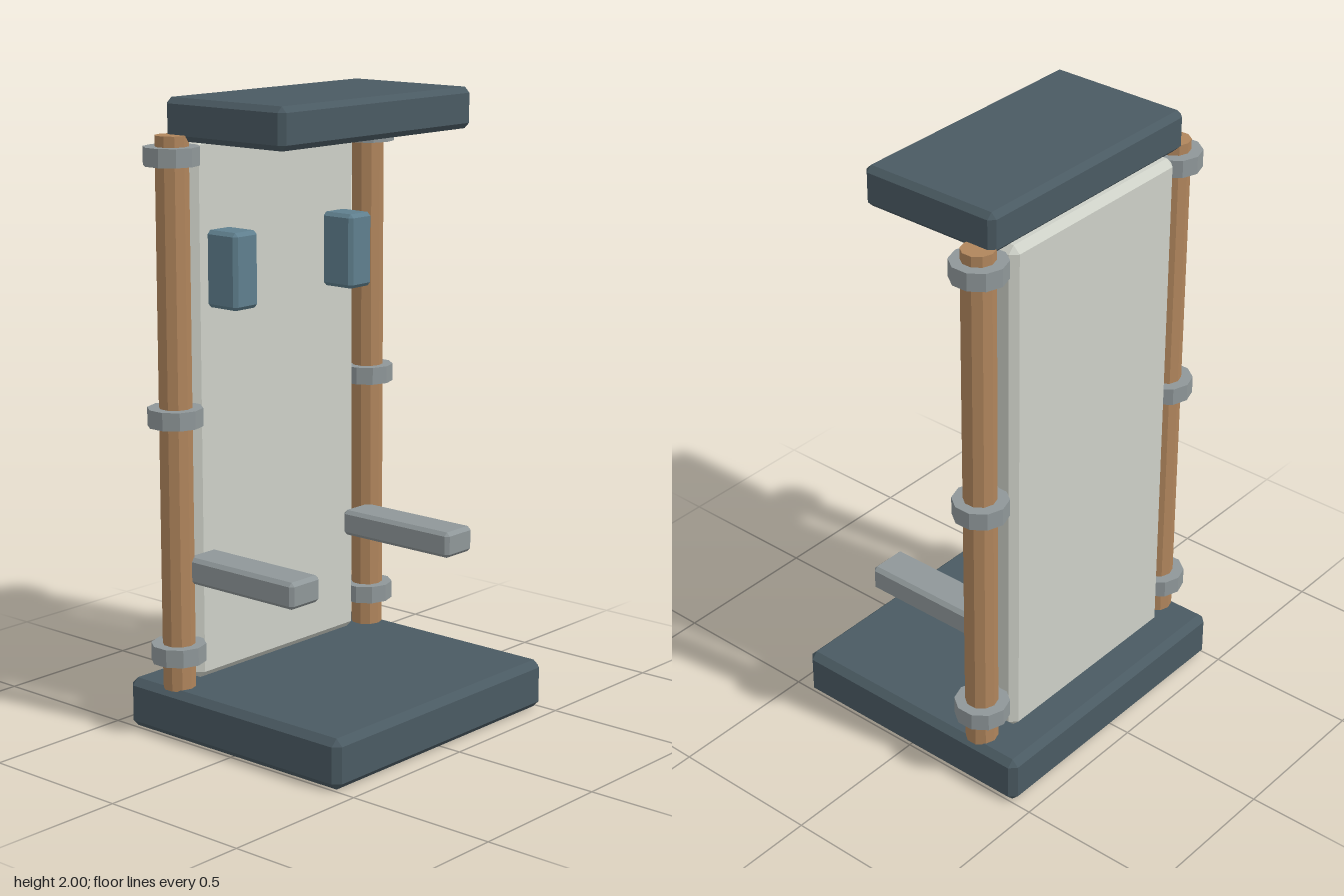
import * as THREE from 'three';
import { ConvexGeometry } from 'three/addons/geometries/ConvexGeometry.js';

const mat = (color) => new THREE.MeshStandardMaterial({ color, flatShading: true });

// Box with all edges and corners cut by c, given as [min, max] ranges
function chamferBox([x0, x1], [y0, y1], [z0, z1], c) {
  const half = [(x1 - x0) / 2, (y1 - y0) / 2, (z1 - z0) / 2];
  const points = [];
  for (const sx of [-1, 1]) for (const sy of [-1, 1]) for (const sz of [-1, 1]) {
    // each corner becomes three points, one on each adjoining face
    for (let face = 0; face < 3; face++) {
      const p = [sx, sy, sz].map((s, i) => s * (half[i] - (i === face ? 0 : c)));
      points.push(new THREE.Vector3(...p));
    }
  }
  const geo = new ConvexGeometry(points);
  geo.translate((x0 + x1) / 2, (y0 + y1) / 2, (z0 + z1) / 2);
  return geo;
}

export function createModel() {
  const model = new THREE.Group();
  model.name = 'booth';
  const slate = mat(0x4a5a62);
  const panelMat = mat(0xcdd0c7);
  const wood = mat(0xb0855c);
  const metal = mat(0x8f9799);
  const padMat = mat(0x5f7f8e);

  const add = (name, geometry, material) => {
    const mesh = new THREE.Mesh(geometry, material);
    mesh.name = name;
    model.add(mesh);
    return mesh;
  };

  // Base, canopy and back panel
  add('base', chamferBox([-0.507, 0.507], [0, 0.16], [-0.442, 0.442], 0.022), slate);
  add('canopy', chamferBox([-0.442, 0.442], [1.87, 2], [-0.31, 0.175], 0.018), slate);
  add('backPanel', chamferBox([-0.375, 0.375], [0.16, 1.875], [-0.334, -0.25], 0.022), panelMat);

  const postGeo = new THREE.CylinderGeometry(0.052, 0.052, 1.735, 10);
  const ringGeo = new THREE.CylinderGeometry(0.087, 0.087, 0.057, 10);

  for (const [side, s] of [['left', 1], ['right', -1]]) {
    const span = (a, b) => (s > 0 ? [a, b] : [-b, -a]);

    // Post with three collars
    add(side + 'Post', postGeo, wood).position.set(s * 0.451, 1.0225, -0.266);
    for (const y of [0.272, 1.027, 1.828]) {
      add(side + 'Collar', ringGeo, metal).position.set(s * 0.451, y, -0.268);
    }

    // Forward armrest and upper pad
    add(side + 'Arm', chamferBox(span(0.306, 0.437), [0.495, 0.58], [-0.25, 0.2], 0.012), metal);
    add(side + 'Pad', chamferBox(span(0.214, 0.32), [1.35, 1.59], [-0.26, -0.132], 0.012), padMat);
  }
  return model;
}
